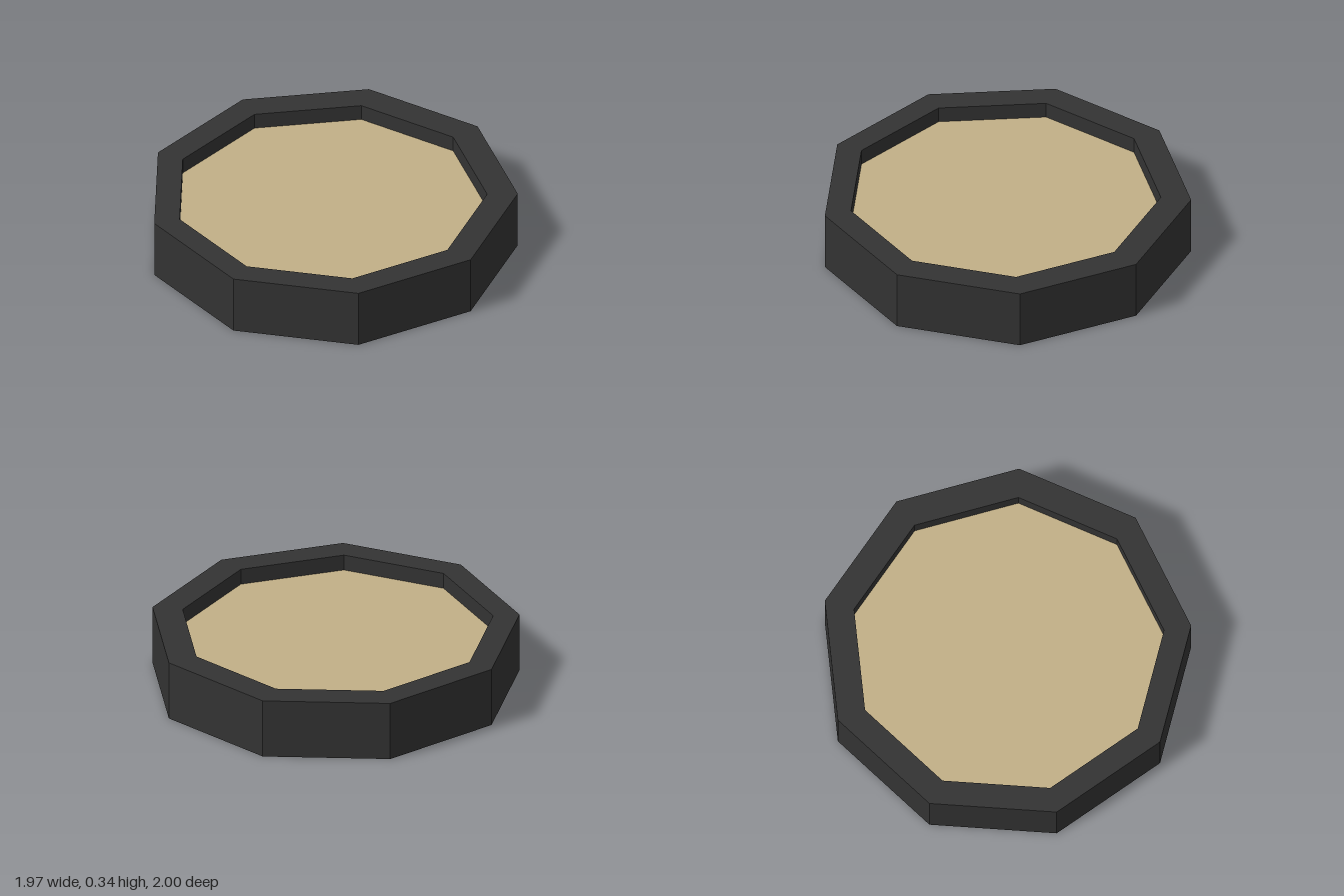
import * as THREE from 'three';

const SIDES = 9;
const HEIGHT = 0.337;
const FLOOR = 0.247;
const OUTER = { r: 1.0154, x: -0.031 };
const INNER = { r: 0.859, x: -0.044 };

// Corner points of a nine-sided ring with one corner on +x
function corners({ r, x }) {
  return Array.from({ length: SIDES }, (_, i) => {
    const a = (i / SIDES) * Math.PI * 2;
    return new THREE.Vector2(x + r * Math.cos(a), r * Math.sin(a));
  });
}

// Faceted vertical wall, facing outwards or inwards
function wall({ r, x }, y0, y1, inward) {
  const start = inward ? -Math.PI / 2 : Math.PI / 2;
  let g = new THREE.CylinderGeometry(r, r, y1 - y0, SIDES, 1, true, start);
  if (inward) g.scale(-1, 1, 1);
  g.translate(x, (y0 + y1) / 2, 0);
  g = g.toNonIndexed();
  g.computeVertexNormals();
  return g;
}

// Flat horizontal face, facing up or down
function plate(ring, y, up, hole) {
  const shape = new THREE.Shape(corners(ring));
  if (hole) shape.holes.push(new THREE.Path(corners(hole)));
  const g = new THREE.ShapeGeometry(shape);
  g.rotateX(up ? -Math.PI / 2 : Math.PI / 2);
  g.translate(0, y, 0);
  return g;
}

export function createModel() {
  const group = new THREE.Group();
  group.name = 'shallowTray';
  const dark = new THREE.MeshStandardMaterial({ name: 'charcoal', color: 0x333333, flatShading: true });
  const sand = new THREE.MeshStandardMaterial({ name: 'sand', color: 0xc2b087, flatShading: true });

  const add = (name, geometry, material) => {
    const mesh = new THREE.Mesh(geometry, material);
    mesh.name = name;
    group.add(mesh);
  };

  // Dark frame
  add('outerWall', wall(OUTER, 0, HEIGHT, false), dark);
  add('rimTop', plate(OUTER, HEIGHT, true, INNER), dark);
  add('innerWall', wall(INNER, FLOOR, HEIGHT, true), dark);
  add('underside', plate(OUTER, 0, false), dark);

  // Recessed filling
  add('sandFloor', plate(INNER, FLOOR, true), sand);
  return group;
}
